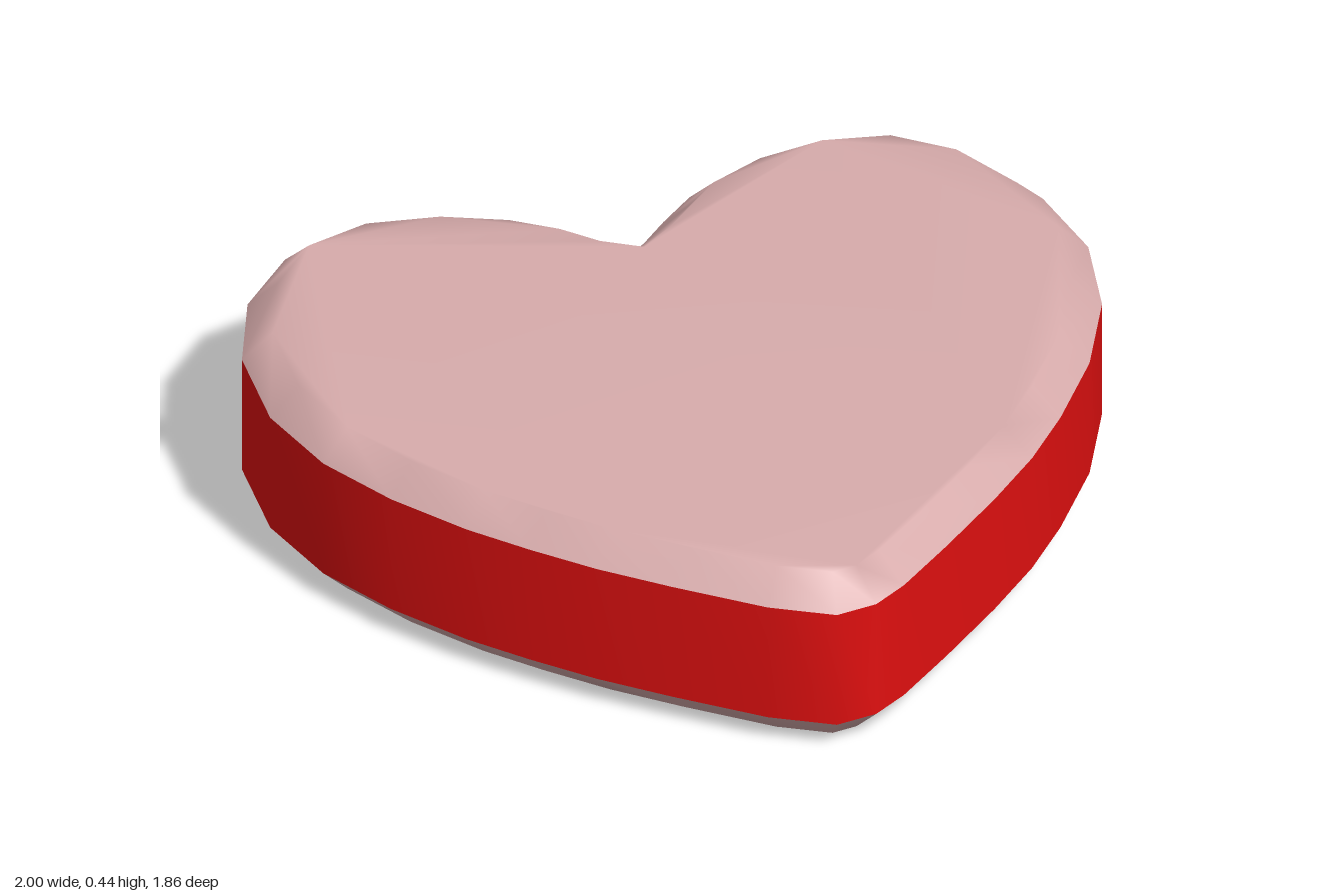
import * as THREE from 'three';

const HEIGHT = 0.44, BEVEL = 0.07;

// Heart outline as [x, z], from the notch round the left lobe, the tip and the right lobe
const outline = [
  [0, -0.65], [0.04, -0.68], [0.11, -0.75], [0.2, -0.83], [0.35, -0.9], [0.53, -0.93], [0.715, -0.895],
  [0.865, -0.77], [0.965, -0.57], [1, -0.345], [0.955, -0.11], [0.85, 0.115], [0.715, 0.31], [0.6, 0.45],
  [0.465, 0.585], [0.3, 0.735], [0.155, 0.86], [0.07, 0.915], [-0.03, 0.93], [-0.17, 0.85], [-0.35, 0.7],
  [-0.49, 0.575], [-0.61, 0.45], [-0.72, 0.325], [-0.845, 0.15], [-0.945, -0.04], [-1, -0.26],
  [-0.985, -0.51], [-0.9, -0.725], [-0.76, -0.875], [-0.575, -0.93], [-0.38, -0.9], [-0.22, -0.83],
  [-0.11, -0.75], [-0.04, -0.675],
].map(([x, z]) => new THREE.Vector2(x, z));
const N = outline.length;

// Move every corner inward along its mitre
function inset(points, distance) {
  const inward = (a, b) => new THREE.Vector2(a.y - b.y, b.x - a.x).normalize();
  return points.map((p, i) => {
    const n1 = inward(points[(i + N - 1) % N], p);
    const n2 = inward(p, points[(i + 1) % N]);
    const scale = distance / Math.max(0.5, 1 + n1.dot(n2));
    return n1.add(n2).multiplyScalar(scale).add(p);
  });
}

// Outward-facing band between two stacked rings; lo and hi are first vertex numbers
function band(lo, hi) {
  const index = [];
  for (let i = 0; i < N; i++) {
    const j = (i + 1) % N;
    index.push(lo + i, hi + i, hi + j, lo + i, hi + j, lo + j);
  }
  return index;
}

function makeMesh(name, rings, index, color) {
  const geometry = new THREE.BufferGeometry();
  const positions = rings.flatMap(({ points, y }) => points.flatMap((p) => [p.x, y, p.y]));
  geometry.setAttribute('position', new THREE.Float32BufferAttribute(positions, 3));
  geometry.setIndex(index);
  geometry.computeVertexNormals();
  const mesh = new THREE.Mesh(geometry, new THREE.MeshStandardMaterial({ color }));
  mesh.name = name;
  return mesh;
}

export function createModel() {
  const group = new THREE.Group();
  group.name = 'heart';
  const inner = inset(outline, BEVEL);
  const faces = THREE.ShapeUtils.triangulateShape(inner, []);

  // Straight red side wall
  group.add(makeMesh('sideWall', [
    { points: outline, y: BEVEL },
    { points: outline, y: HEIGHT - BEVEL },
  ], band(0, N), 0xe01010));

  // Top face with its bevel, softly shaded as one surface
  group.add(makeMesh('topFace', [
    { points: outline, y: HEIGHT - BEVEL },
    { points: inner, y: HEIGHT },
  ], [...band(0, N), ...faces.flatMap(([a, b, c]) => [N + a, N + c, N + b])], 0xd8acac));

  // Bottom face with its bevel
  group.add(makeMesh('bottomFace', [
    { points: inner, y: 0 },
    { points: outline, y: BEVEL },
  ], [...band(0, N), ...faces.flat()], 0xd8acac));

  return group;
}
